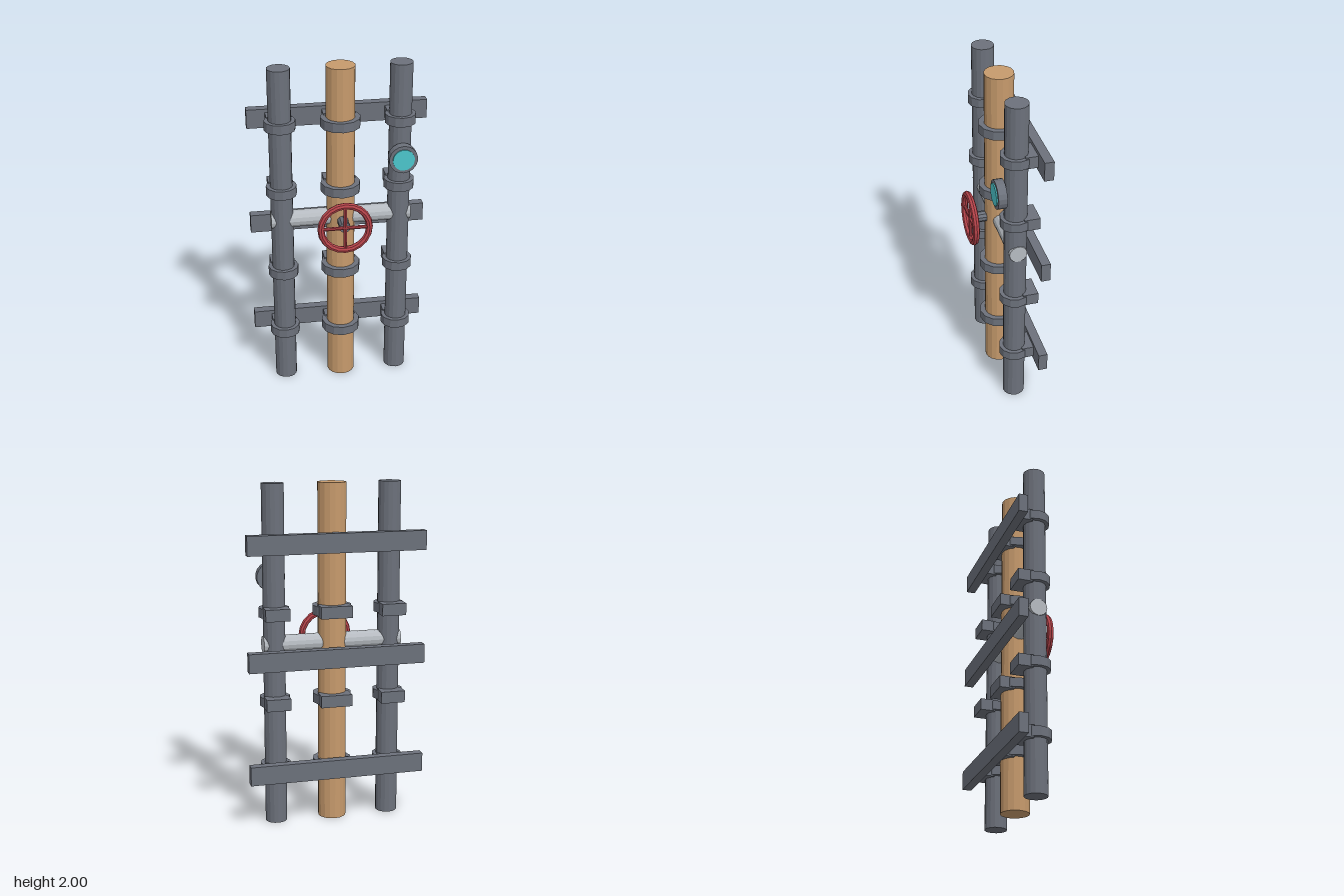
import * as THREE from 'three';

const PZ = -0.018; // depth of the pipe axes
const SIDE_X = 0.343;
const VALVE_Y = 1.078;

function material(name, color) {
  const m = new THREE.MeshStandardMaterial({ color });
  m.name = name;
  m.flatShading = true;
  return m;
}

export function createModel() {
  const model = new THREE.Group();
  model.name = 'pipeRack';
  const steel = material('dark steel', 0x6c717b);
  const copper = material('copper', 0xc69a6c);
  const silver = material('light steel', 0xb6bbc1);
  const red = material('red paint', 0xb5434a);
  const cyan = material('gauge cyan', 0x4cc6cc);

  function add(name, geometry, mat, x, y, z, parent = model) {
    const mesh = new THREE.Mesh(geometry, mat);
    mesh.name = name;
    mesh.position.set(x, y, z);
    parent.add(mesh);
    return mesh;
  }
  const cylinder = (r, h, sides) => new THREE.CylinderGeometry(r, r, h, sides);
  const box = (w, h, d) => new THREE.BoxGeometry(w, h, d);

  // Vertical pipes, each with four collars and wall blocks
  const pipes = [
    { name: 'rightPipe', x: -SIDE_X, r: 0.065, collar: 0.089, block: 0.143, mat: steel },
    { name: 'mainPipe', x: 0, r: 0.083, collar: 0.115, block: 0.185, mat: copper },
    { name: 'leftPipe', x: SIDE_X, r: 0.065, collar: 0.089, block: 0.143, mat: steel },
  ];
  for (const p of pipes) {
    add(p.name, cylinder(p.r, 2, 16), p.mat, p.x, 1, PZ);
    for (const y of [0.335, 0.742, 1.268, 1.67]) {
      const bracket = new THREE.Group();
      bracket.name = 'bracket';
      bracket.position.set(p.x, y, 0);
      model.add(bracket);
      add('collar', cylinder(p.collar, 0.055, 12), steel, 0, 0, PZ, bracket);
      add('wallBlock', box(p.block, 0.07, 0.09), steel, 0, 0, -0.095, bracket);
    }
  }

  // Mounting rails across the back
  for (const y of [0.335, 1.005, 1.67]) {
    add('rail', box(1.04, 0.112, 0.053), steel, 0, y, -0.1455);
  }

  // Horizontal pipe joining the three
  add('crossPipe', cylinder(0.051, 0.82, 14), silver, 0, VALVE_Y, PZ).rotation.z = Math.PI / 2;

  // Valve stem and handwheel
  add('valveStem', cylinder(0.032, 0.11, 10), steel, 0, VALVE_Y, 0.095).rotation.x = Math.PI / 2;
  const wheel = new THREE.Group();
  wheel.name = 'handwheel';
  wheel.position.set(0, VALVE_Y, 0.152);
  model.add(wheel);
  add('wheelRim', new THREE.TorusGeometry(0.141, 0.02, 8, 20), red, 0, 0, 0, wheel);
  for (const angle of [0, Math.PI / 2]) {
    add('wheelSpoke', cylinder(0.011, 0.28, 8), red, 0, 0, 0, wheel).rotation.z = angle;
  }

  // Round gauge on the left pipe
  const gauge = new THREE.Group();
  gauge.name = 'gauge';
  gauge.position.set(SIDE_X, 1.457, 0);
  gauge.rotation.x = Math.PI / 2;
  model.add(gauge);
  add('gaugeBody', cylinder(0.083, 0.05, 18), steel, 0, 0.075, 0, gauge);
  add('gaugeFace', cylinder(0.063, 0.008, 18), cyan, 0, 0.103, 0, gauge);

  return model;
}
